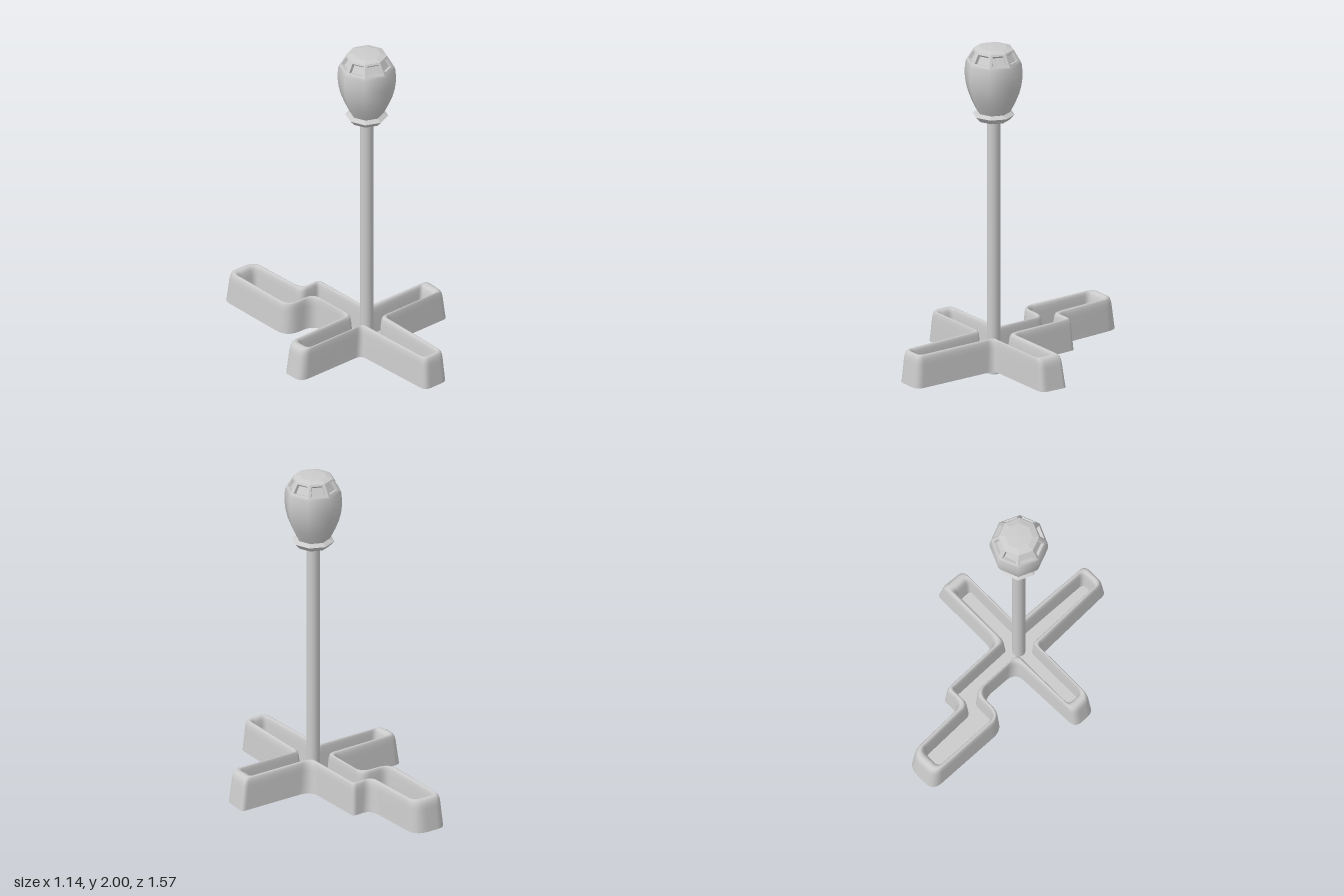
import * as THREE from 'three';

const mat = new THREE.MeshStandardMaterial({ color: 0xcccccc, side: THREE.DoubleSide });
const flat = new THREE.MeshStandardMaterial({ color: 0xcccccc, side: THREE.DoubleSide, flatShading: true });
const CX = -0.005, CZ = 0.165; // axis of the pole

// Corners of the base, [x, z, rounding]: right arm, bent back arm, left arm, front arm
const outer = [
  [-0.57, 0.235, 0.06], [-0.57, 0.08, 0.05], [-0.085, 0.06, 0.07],
  [-0.08, -0.21, 0.09], [-0.29, -0.21, 0.1], [-0.288, -0.785, 0.07], [-0.066, -0.785, 0.09],
  [-0.05, -0.35, 0.09], [0.078, -0.36, 0.03], [0.085, 0.06, 0.08],
  [0.57, 0.058, 0.03], [0.558, 0.232, 0.04], [0.098, 0.235, 0.05],
  [0.085, 0.78, 0.05], [-0.09, 0.78, 0.04], [-0.11, 0.235, 0.04],
];
const groove = [
  [-0.465, 0.208, 0.03], [-0.465, 0.112, 0.03], [-0.055, 0.112, 0.02],
  [-0.058, -0.25, 0.05], [-0.238, -0.25, 0.05], [-0.238, -0.685, 0.03], [-0.112, -0.685, 0.03],
  [-0.1, -0.305, 0.04], [0.037, -0.305, 0.02], [0.042, 0.112, 0.02],
  [0.452, 0.112, 0.02], [0.452, 0.208, 0.02], [0.045, 0.208, 0.02],
  [0.036, 0.712, 0.03], [-0.052, 0.712, 0.03], [-0.06, 0.208, 0.02],
];

// Closed loop with every corner rounded by the same number of points
function rounded(corners, steps = 8) {
  const out = [], n = corners.length;
  const p = corners.map(c => new THREE.Vector2(c[0], c[1]));
  corners.forEach((c, i) => {
    const toward = q => p[i].clone().lerp(q, Math.min(0.48, c[2] / p[i].distanceTo(q)));
    const curve = new THREE.QuadraticBezierCurve(toward(p[(i + n - 1) % n]), p[i], toward(p[(i + 1) % n]));
    out.push(...curve.getPoints(steps));
  });
  return out;
}

// Trough-shaped foot: outer wall, rounded rim, inner wall and floor
function makeBase() {
  const base = new THREE.Group();
  base.name = 'base';
  const a = rounded(outer), b = rounded(groove), n = a.length;
  const section = [ // share of the way from outer edge to groove, height
    [0, 0.05], [0.1, 0.12], [0.19, 0.19], [0.24, 0.215], [0.33, 0.235], [0.45, 0.243],
    [0.6, 0.243], [0.73, 0.238], [0.82, 0.222], [0.88, 0.19], [0.95, 0.12], [1, 0.07],
  ];
  const pos = [], index = [];
  section.forEach(([t, y], k) => {
    for (let i = 0; i < n; i++) {
      const q = a[i].clone().lerp(b[i], t);
      pos.push(q.x, y, q.y);
      if (k + 1 < section.length) {
        const r = k * n, j = (i + 1) % n;
        index.push(r + i, r + n + i, r + j, r + j, r + n + i, r + n + j);
      }
    }
  });
  const geo = new THREE.BufferGeometry();
  geo.setAttribute('position', new THREE.Float32BufferAttribute(pos, 3));
  geo.setIndex(index);
  geo.computeVertexNormals();
  const walls = new THREE.Mesh(geo, mat);
  walls.name = 'baseWalls';

  const shape = new THREE.Shape(b.map(q => new THREE.Vector2(q.x, -q.y)));
  const floor = new THREE.Mesh(new THREE.ShapeGeometry(shape).rotateX(-Math.PI / 2), mat);
  floor.position.y = 0.07;
  floor.name = 'grooveFloor';
  base.add(walls, floor);
  return base;
}

// Eight-sided turned part
function turned(name, profile, material, sides = 8) {
  const mesh = new THREE.Mesh(new THREE.LatheGeometry(profile.map(p => new THREE.Vector2(...p)), sides), material);
  mesh.name = name;
  return mesh;
}

// Ring of eight framed, recessed windows
function makeWindows(r0, y0, r1, y1) {
  const pos = [];
  const quad = (a, b, c, d) => [a, b, c, a, c, d].forEach(v => pos.push(v.x, v.y, v.z));
  const at = (r, y, i) => new THREE.Vector3(r * Math.sin(i * Math.PI / 4), y, r * Math.cos(i * Math.PI / 4));
  for (let i = 0; i < 8; i++) {
    const edge = [at(r0, y0, i), at(r0, y0, i + 1), at(r1, y1, i + 1), at(r1, y1, i)];
    const mix = (u, v) => edge[0].clone().lerp(edge[1], u).lerp(edge[3].clone().lerp(edge[2], u), v);
    const hole = [mix(0.13, 0.17), mix(0.87, 0.17), mix(0.87, 0.85), mix(0.13, 0.85)];
    const inward = edge[1].clone().sub(edge[0]).cross(edge[3].clone().sub(edge[0])).setLength(-0.018);
    const centre = mix(0.5, 0.5);
    const pane = hole.map(v => v.clone().lerp(centre, 0.15).add(inward));
    for (let k = 0; k < 4; k++) {
      const m = (k + 1) % 4;
      quad(edge[k], edge[m], hole[m], hole[k]);
      quad(hole[k], hole[m], pane[m], pane[k]);
    }
    quad(...pane);
  }
  const geo = new THREE.BufferGeometry();
  geo.setAttribute('position', new THREE.Float32BufferAttribute(pos, 3));
  geo.computeVertexNormals();
  const mesh = new THREE.Mesh(geo, flat);
  mesh.name = 'windows';
  return mesh;
}

export function createModel() {
  const model = new THREE.Group();
  model.add(makeBase());

  // Pole running through the base
  const pole = new THREE.Mesh(new THREE.CylinderGeometry(0.039, 0.039, 1.58, 20), mat);
  pole.position.set(CX, 0.79, CZ);
  pole.name = 'pole';
  model.add(pole);

  // Bulb-shaped head
  const head = new THREE.Group();
  head.name = 'head';
  head.position.set(CX, 0, CZ);
  head.add(
    turned('collar', [[0, 1.56], [0.095, 1.556], [0.124, 1.588], [0.1, 1.602], [0.09, 1.61]], flat),
    turned('bulb', [[0.092, 1.595], [0.108, 1.625], [0.13, 1.67], [0.15, 1.72], [0.163, 1.77],
      [0.169, 1.82], [0.169, 1.86], [0.165, 1.9], [0.16, 1.915]], mat),
    makeWindows(0.16, 1.915, 0.117, 1.987),
    turned('cap', [[0.117, 1.987], [0.08, 1.997], [0, 2.0]], flat),
  );
  model.add(head);
  return model;
}
